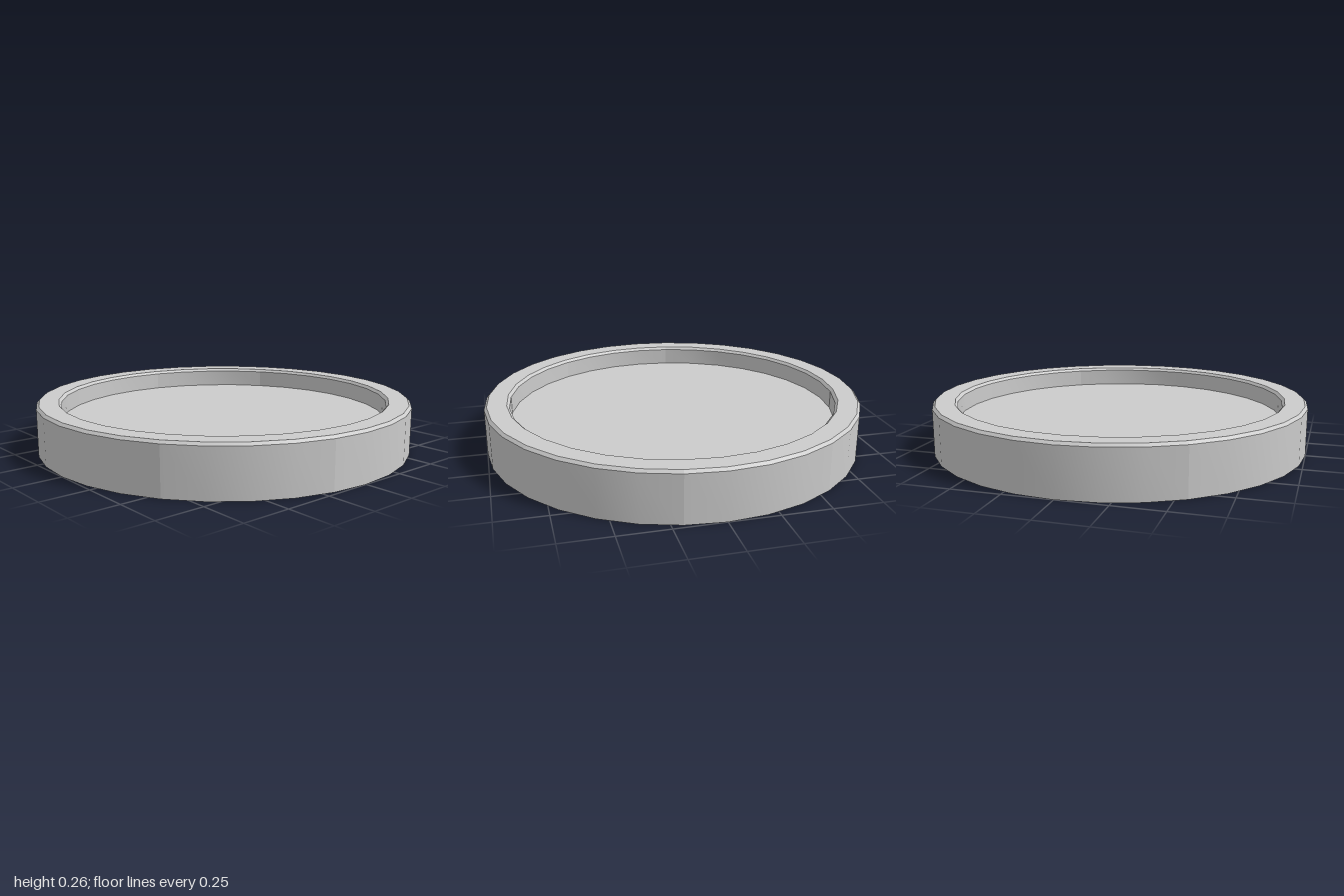
import * as THREE from 'three';
import { toCreasedNormals } from 'three/addons/utils/BufferGeometryUtils.js';

const SIDES = 32, SEGMENTS = 8;
const OUTER = 1, INNER = 0.87, HEIGHT = 0.26, FLOOR = 0.155, BEVEL = 0.014;

export function createModel() {
  const group = new THREE.Group();
  group.name = 'roundBasin';
  const material = new THREE.MeshStandardMaterial({ color: 0xcccccc });

  const add = (name, geometry) => {
    const mesh = new THREE.Mesh(geometry, material);
    mesh.name = name;
    group.add(mesh);
    return mesh;
  };

  // Rim cross-section: up the outside, over the bevelled top, down the inside
  const profile = [
    [OUTER, 0], [OUTER, HEIGHT - BEVEL], [OUTER - BEVEL, HEIGHT],
    [INNER + BEVEL, HEIGHT], [INNER, HEIGHT - BEVEL], [INNER, FLOOR],
  ].map(([r, y]) => new THREE.Vector2(r, y));

  // Eight curved rim stones meeting at visible seams
  const arc = (Math.PI * 2) / SEGMENTS;
  const firstSeam = THREE.MathUtils.degToRad(33.75);
  for (let i = 0; i < SEGMENTS; i++) {
    const stone = new THREE.LatheGeometry(profile, SIDES / SEGMENTS, firstSeam + i * arc, arc);
    add(`rimSegment${i + 1}`, toCreasedNormals(stone, Math.PI / 6));
  }

  // Recessed floor and flat underside
  const floor = add('floor', new THREE.CircleGeometry(INNER, SIDES));
  floor.rotation.x = -Math.PI / 2;
  floor.position.y = FLOOR;
  const underside = add('underside', new THREE.CircleGeometry(OUTER, SIDES));
  underside.rotation.x = Math.PI / 2;

  return group;
}
